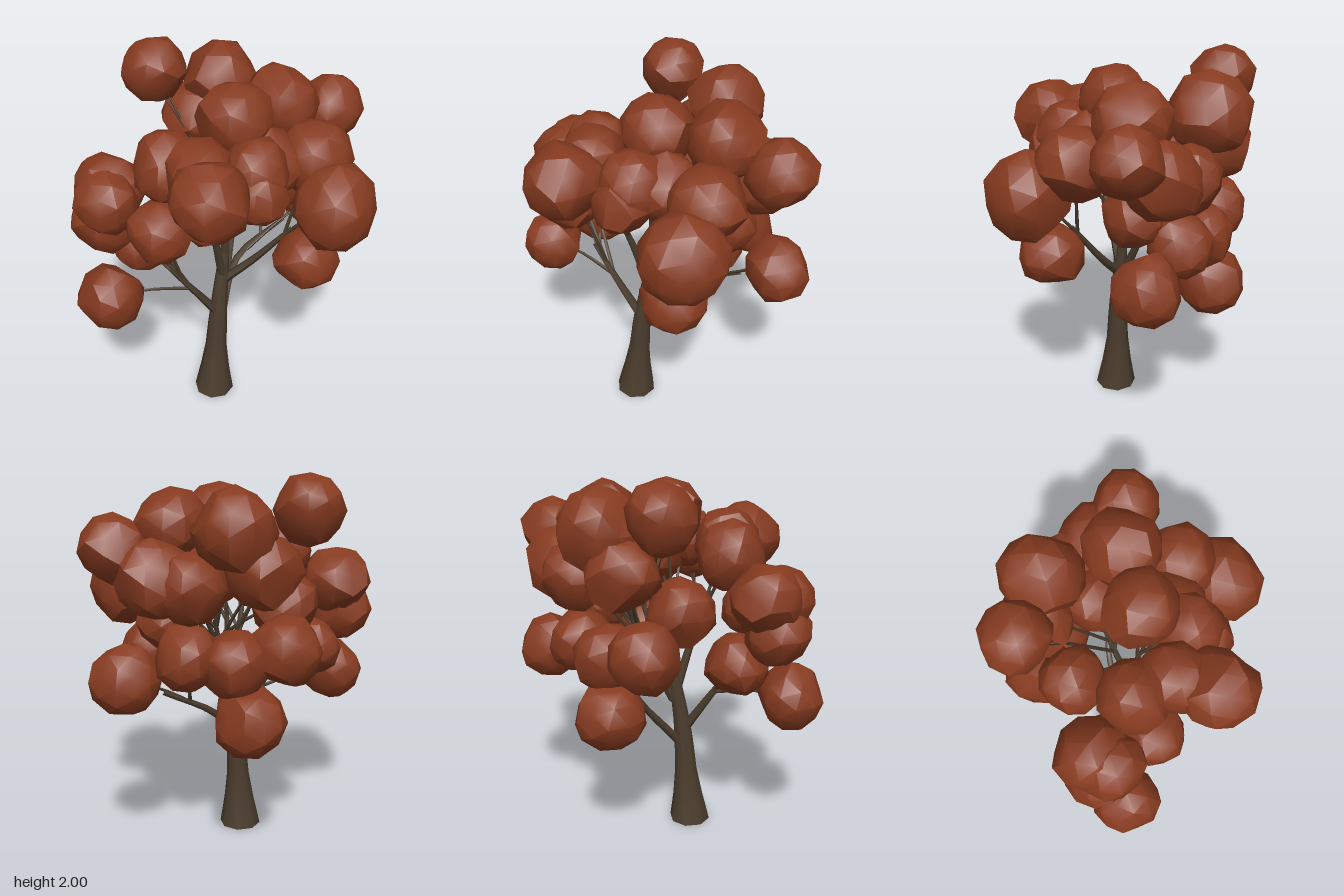
import * as THREE from 'three';
import { mergeVertices, toCreasedNormals } from 'three/addons/utils/BufferGeometryUtils.js';

const V = (p) => new THREE.Vector3(...p);

// Small seeded random generator
function seeded(seed) {
  let s = seed * 7919 + 17;
  return () => {
    s = (s * 16807) % 2147483647;
    return s / 2147483647;
  };
}

// Lumpy leaf ball: a jittered sphere with a few flat cuts
function leafGeometry(r, seed) {
  const rand = seeded(seed);
  for (let i = 0; i < 5; i++) rand();
  let geo = new THREE.IcosahedronGeometry(1, 1);
  geo.deleteAttribute('normal');
  geo.deleteAttribute('uv');
  geo = mergeVertices(geo, 1e-3);
  const cuts = Array.from({ length: 5 }, () =>
    new THREE.Vector3(rand() - 0.5, rand() - 0.5, rand() - 0.5).normalize());
  const pos = geo.attributes.position;
  const v = new THREE.Vector3();
  for (let i = 0; i < pos.count; i++) {
    v.fromBufferAttribute(pos, i).multiplyScalar(0.97 + rand() * 0.1);
    for (const n of cuts) {
      const over = v.dot(n) - 0.86;
      if (over > 0) v.addScaledVector(n, -over);
    }
    pos.setXYZ(i, v.x * r, v.y * r, v.z * r);
  }
  return toCreasedNormals(geo, 0.64);
}

// Tube along a curve whose radius follows a list of values
function taperedTube(points, radii, sides, segments) {
  const curve = new THREE.CatmullRomCurve3(points.map(V));
  const geo = new THREE.TubeGeometry(curve, segments, 1, sides);
  const pos = geo.attributes.position;
  const v = new THREE.Vector3();
  for (let i = 0; i <= segments; i++) {
    const t = (i / segments) * (radii.length - 1);
    const k = Math.min(Math.floor(t), radii.length - 2);
    const r = THREE.MathUtils.lerp(radii[k], radii[k + 1], t - k);
    const c = curve.getPointAt(i / segments);
    for (let j = 0; j <= sides; j++) {
      const n = i * (sides + 1) + j;
      v.fromBufferAttribute(pos, n).sub(c).multiplyScalar(r).add(c);
      pos.setXYZ(n, v.x, v.y, v.z);
    }
  }
  geo.computeVertexNormals();
  return geo;
}

// Main limbs: path from the trunk, ending in a hub for twigs
const LIMBS = {
  frontLeft: [[-0.06, 0.58, 0.08], [-0.15, 0.76, 0.16], [-0.27, 0.98, 0.25]],
  back: [[-0.04, 0.48, 0.05], [-0.05, 0.75, -0.18], [-0.09, 1.0, -0.34]],
  right: [[-0.02, 0.77, 0.03], [0.14, 0.92, 0.02], [0.34, 1.17, 0.05]],
  backRight: [[-0.04, 0.49, 0.04], [0.02, 0.76, -0.19], [0.26, 0.93, -0.38]],
  top: [[-0.02, 0.95, 0.01], [-0.01, 1.12, 0.02], [0, 1.3, 0.03]],
  front: [[-0.03, 0.82, 0.04], [-0.05, 1.08, 0.12], [-0.07, 1.34, 0.22]],
  backTop: [[-0.02, 0.74, 0.02], [0.0, 1.0, -0.11], [0.02, 1.28, -0.23]],
};

// Leaf balls: x, y, z, radius, limb that carries them
const LEAVES = [
  [-0.44, 1.83, -0.31, 0.17, 'backTop'],
  [0.0, 1.59, 0.49, 0.195, 'front'],
  [0.55, 1.38, 0.13, 0.22, 'right'],
  [-0.57, 1.41, 0.19, 0.185, 'frontLeft'],
  [-0.55, 1.4, 0.29, 0.17, 'frontLeft'],
  [-0.59, 1.25, 0.25, 0.17, 'frontLeft'],
  [-0.56, 0.87, 0.39, 0.175, 'frontLeft'],
  [-0.29, 1.28, 0.34, 0.165, 'frontLeft'],
  [-0.44, 1.06, 0.13, 0.165, 'frontLeft'],
  [-0.32, 1.34, -0.13, 0.175, 'top'],
  [-0.34, 1.16, -0.34, 0.185, 'back'],
  [-0.18, 0.83, -0.45, 0.185, 'back'],
  [-0.1, 1.1, -0.42, 0.175, 'back'],
  [0.12, 1.14, -0.46, 0.165, 'backRight'],
  [0.42, 1.03, 0.11, 0.17, 'right'],
  [0.42, 1.03, -0.49, 0.175, 'backRight'],
  [0.47, 1.64, -0.42, 0.175, 'backTop'],
  [0.27, 1.52, -0.46, 0.2, 'backTop'],
  [0.1, 1.48, -0.48, 0.175, 'backTop'],
  [-0.24, 1.55, -0.4, 0.185, 'backTop'],
  [-0.11, 1.74, -0.45, 0.205, 'backTop'],
  [0.23, 1.74, -0.25, 0.195, 'backTop'],
  [0.03, 1.75, 0.01, 0.19, 'top'],
  [0.02, 1.52, -0.25, 0.17, 'backTop'],
  [-0.27, 1.57, 0.21, 0.18, 'front'],
  [-0.1, 1.61, 0.3, 0.17, 'front'],
  [0.16, 1.58, 0.2, 0.175, 'top'],
  [0.19, 1.5, 0.28, 0.15, 'front'],
  [0.21, 1.55, 0.05, 0.18, 'top'],
  [0.42, 1.54, -0.06, 0.195, 'right'],
  [0.25, 1.28, -0.27, 0.16, 'backTop'],
];

export function createModel() {
  const bark = new THREE.MeshStandardMaterial({ color: 0x4b3d2e });
  bark.name = 'bark';
  const foliage = new THREE.MeshStandardMaterial({ color: 0x873b20 });
  foliage.name = 'foliage';

  const tree = new THREE.Group();
  tree.name = 'tree';
  const add = (name, geo, mat, parent = tree) => {
    const mesh = new THREE.Mesh(geo, mat);
    mesh.name = name;
    parent.add(mesh);
    return mesh;
  };
  const group = (name) => {
    const g = new THREE.Group();
    g.name = name;
    tree.add(g);
    return g;
  };

  // Trunk, flared at the foot, with its first ring flattened onto the ground
  const sides = 8;
  const trunk = taperedTube(
    [[-0.07, 0, 0.1], [-0.06, 0.3, 0.08], [-0.045, 0.6, 0.06], [-0.02, 0.95, 0.01]],
    [0.114, 0.084, 0.062, 0.054, 0.045, 0.037, 0.026], sides, 12);
  for (let j = 0; j <= sides; j++) trunk.attributes.position.setY(j, 0);
  add('trunk', toCreasedNormals(trunk, 0.9), bark);
  const foot = add('trunkFoot', new THREE.CircleGeometry(0.108, sides), bark);
  foot.rotation.x = Math.PI / 2;
  foot.position.set(-0.07, 0.001, 0.1);

  // Limbs
  const limbs = group('limbs');
  for (const [name, path] of Object.entries(LIMBS)) {
    const r = name === 'top' ? 0.024 : 0.026;
    add(name + 'Limb', taperedTube(path, [r, r * 0.72, r * 0.42], 6, 8), bark, limbs);
  }

  // Each leaf ball, with a twig running from its limb into it
  const twigs = group('twigs');
  const crown = group('crown');
  LEAVES.forEach(([x, y, z, r, limb], i) => {
    const ball = add('leafBall', leafGeometry(r, i + 3), foliage, crown);
    ball.position.set(x, y, z);
    const from = V(LIMBS[limb][1]).lerp(V(LIMBS[limb][2]), (i % 3) * 0.3 + 0.2);
    const to = new THREE.Vector3(x, y, z);
    const mid = from.clone().lerp(to, 0.5);
    mid.y += 0.02;
    const path = [from, mid, to].map((p) => p.toArray());
    add('twig', taperedTube(path, [0.011, 0.008, 0.004], 5, 6), bark, twigs);
    // Fine shoot leaving the twig
    const tip = to.clone().add(V([0.06 * Math.sin(i * 2.4), -0.04, 0.06 * Math.cos(i * 2.4)]));
    const bend = mid.clone().lerp(tip, 0.5).add(V([0, 0.015, 0]));
    add('shoot', taperedTube([mid, bend, tip].map((p) => p.toArray()),
      [0.006, 0.004, 0.002], 4, 4), bark, twigs);
  });

  return tree;
}
